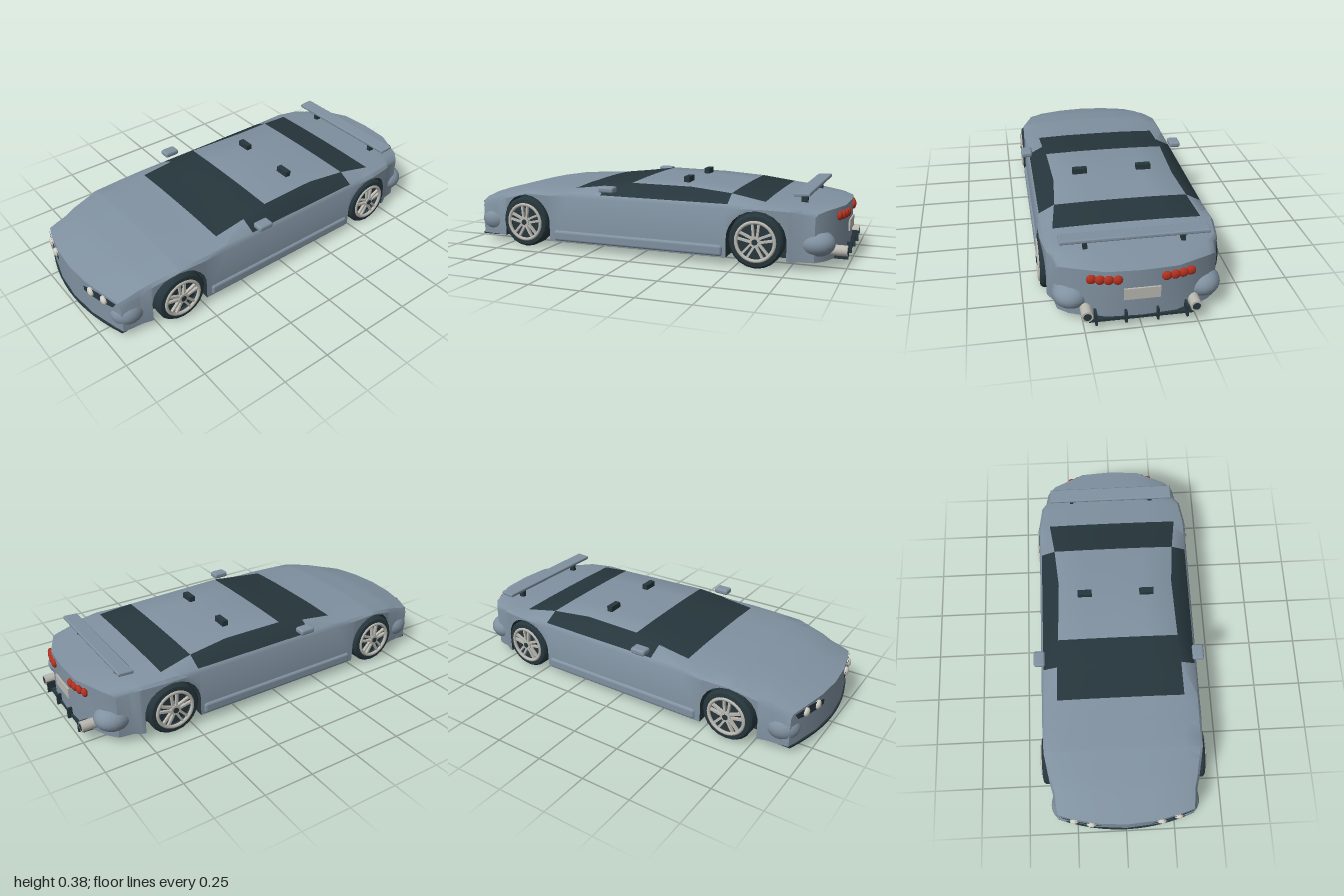
import * as THREE from 'three';
import { toCreasedNormals } from 'three/addons/utils/BufferGeometryUtils.js';
import { RoundedBoxGeometry } from 'three/addons/geometries/RoundedBoxGeometry.js';

const mat = (name, color, side = THREE.FrontSide) => {
  const m = new THREE.MeshStandardMaterial({ color, side });
  m.name = name;
  return m;
};
const paint = mat('grey paint', 0x8091a0);
const dark = mat('dark glass and rubber', 0x26363c, THREE.DoubleSide);
const metal = mat('pale metal', 0xb9b8b1);
const lampWhite = mat('lamp white', 0xd0cec5);
const red = mat('tail red', 0xb3301f);

const WHEELS = [0.63, -0.6], AXLE_Y = 0.13, ARCH = 0.143, FLOOR = 0.04, WELL_X = 0.31;

// z, half width, roof half width, centre top, roof edge, belt line, shoulder heights
const SECTIONS = [
  [0.99, 0.352, 0.27, 0.227, 0.223, 0.213, 0.19],
  [0.93, 0.358, 0.28, 0.243, 0.238, 0.225, 0.2],
  [0.85, 0.362, 0.29, 0.264, 0.257, 0.24, 0.215],
  [0.775, 0.374, 0.3, 0.282, 0.275, 0.258, 0.24],
  [0.63, 0.4, 0.31, 0.305, 0.298, 0.287, 0.278],
  [0.49, 0.405, 0.32, 0.313, 0.306, 0.291, 0.276],
  [0.37, 0.405, 0.325, 0.319, 0.312, 0.295, 0.275],
  [0.2, 0.405, 0.32, 0.338, 0.333, 0.295, 0.275],
  [0.06, 0.405, 0.31, 0.359, 0.354, 0.295, 0.275],
  [-0.25, 0.405, 0.3, 0.357, 0.351, 0.295, 0.275],
  [-0.46, 0.405, 0.32, 0.34, 0.335, 0.295, 0.276],
  [-0.63, 0.408, 0.345, 0.314, 0.309, 0.297, 0.281],
  [-0.76, 0.388, 0.33, 0.303, 0.298, 0.289, 0.275],
  [-0.85, 0.365, 0.32, 0.296, 0.29, 0.28, 0.265],
  [-0.98, 0.355, 0.31, 0.284, 0.276, 0.266, 0.25],
];

// Bowed nose and tail in plan
const noseZ = x => 0.99 - 0.54 * x * x;
const tailZ = x => -0.98 + 2.6 * Math.abs(x) ** 3;
function bow(x, z) {
  if (z > 0.775) return z - (0.99 - noseZ(x)) * (z - 0.775) / 0.215;
  if (z < -0.76) return z + (tailZ(x) + 0.98) * (-0.76 - z) / 0.22;
  return z;
}

function sectionAt(z) {
  let i = 0;
  while (i < SECTIONS.length - 2 && z < SECTIONS[i + 1][0]) i++;
  const a = SECTIONS[i], b = SECTIONS[i + 1], t = (a[0] - z) / (a[0] - b[0]);
  const [, w, r, top, edge, belt, shoulder] = a.map((v, k) => v + (b[k] - v) * t);
  let low = FLOOR;
  for (const c of WHEELS) {
    const d = Math.abs(z - c);
    if (d < ARCH - 0.0005) low = AXLE_Y + Math.sqrt(ARCH * ARCH - d * d);
  }
  low = Math.min(low, shoulder - 0.004);
  return [[0, FLOOR], [WELL_X / 2, FLOOR], [WELL_X, FLOOR], [WELL_X, low], [w, low], [w, shoulder],
    [w - 0.012, belt], [r, edge], [r / 2, top - 0.001], [0, top]];
}

// Lofted body shell with open wheel arches and inset glass faces
function makeBody() {
  const zs = SECTIONS.map(s => s[0]);
  for (const c of WHEELS)
    for (const d of [ARCH, ARCH - 0.001, 0.13, 0.11, 0.08, 0.045, 0.001]) zs.push(c + d, c - d);
  zs.sort((a, b) => b - a);
  const rows = zs.map(sectionAt), n = 10, pos = [], painted = [], darkFaces = [];
  for (const side of [1, -1]) {
    const base = pos.length / 3;
    rows.forEach((row, s) => row.forEach(([x, y]) => pos.push(side * x, y, bow(x, zs[s]))));
    const tri = (list, a, b, c) =>
      side > 0 ? list.push(base + a, base + b, base + c) : list.push(base + a, base + c, base + b);
    const quad = (list, a, b, c, d) => { tri(list, a, b, c); tri(list, a, c, d); };
    for (let s = 0; s < rows.length - 1; s++) {
      const zm = (zs[s] + zs[s + 1]) / 2;
      for (let k = 0; k < n - 1; k++) {
        const well = k === 2 || k === 3 && Math.max(rows[s][3][1], rows[s + 1][3][1]) > FLOOR;
        const sideGlass = k === 6 && zm < 0.2 && zm > -0.46;
        const screen = k > 6 && (zm < 0.37 && zm > 0.06 || zm < -0.46 && zm > -0.63);
        const a = s * n + k;
        quad(well || sideGlass || screen ? darkFaces : painted, a, a + n, a + n + 1, a + 1);
      }
    }
    const e = (rows.length - 1) * n;
    for (const f of [[0, 1, 8, 9], [1, 2, 7, 8], [2, 4, 6, 7], [4, 5, 6, 6]]) {
      quad(painted, ...f);
      quad(painted, ...f.map(v => v + e).reverse());
    }
  }
  const g = new THREE.BufferGeometry();
  g.setAttribute('position', new THREE.Float32BufferAttribute(pos, 3));
  g.setIndex([...painted, ...darkFaces]);
  g.addGroup(0, painted.length, 0);
  g.addGroup(painted.length, darkFaces.length, 1);
  return toCreasedNormals(g, 0.6);
}

// Wheel built along +x, facing outward
function makeWheel() {
  const wheel = new THREE.Group();
  const put = (name, geo, m, x = 0) => {
    const o = new THREE.Mesh(geo, m);
    o.name = name;
    o.position.x = x;
    wheel.add(o);
    return o;
  };
  const profile = [[0.095, -0.045], [0.118, -0.045], [0.13, -0.033], [0.13, 0.03], [0.12, 0.042], [0.098, 0.044], [0.095, 0.02]]
    .map(p => new THREE.Vector2(...p));
  const tyre = new THREE.LatheGeometry(profile, 20).rotateZ(-Math.PI / 2);
  put('tyre', toCreasedNormals(tyre, 0.6), dark);
  put('wheelBack', new THREE.CylinderGeometry(0.097, 0.097, 0.05, 24).rotateZ(Math.PI / 2), dark, -0.012);
  put('rim', new THREE.TorusGeometry(0.092, 0.009, 8, 32).rotateY(Math.PI / 2), metal, 0.042);
  put('hub', new THREE.CylinderGeometry(0.024, 0.026, 0.02, 12).rotateZ(Math.PI / 2), metal, 0.04);
  put('hubCap', new THREE.CylinderGeometry(0.014, 0.014, 0.008, 10).rotateZ(Math.PI / 2), dark, 0.05);
  for (let i = 0; i < 5; i++)
    for (const s of [-1, 1]) {
      const bar = new THREE.BoxGeometry(0.014, 0.08, 0.011).translate(0, 0.05, 0).rotateX(s * 0.1).translate(0, 0, s * 0.007);
      put('spoke', bar, metal, 0.038).rotation.x = i * Math.PI * 2 / 5;
    }
  return wheel;
}

export function createModel() {
  const car = new THREE.Group();
  car.name = 'sportsCar';
  const add = (name, geo, m, x = 0, y = 0, z = 0) => {
    const o = new THREE.Mesh(geo, m);
    o.name = name;
    o.position.set(x, y, z);
    car.add(o);
    return o;
  };
  const box = (w, h, d) => new THREE.BoxGeometry(w, h, d);
  add('body', makeBody(), [paint, dark]);

  // Front splitter following the nose
  const lip = [];
  for (let i = 0; i <= 12; i++) {
    const x = -0.35 + i * 0.7 / 12;
    lip.push(new THREE.Vector2(x, -noseZ(x) - 0.006));
  }
  lip.push(new THREE.Vector2(0.35, -0.84), new THREE.Vector2(-0.35, -0.84));
  const lipGeo = new THREE.ExtrudeGeometry(new THREE.Shape(lip), { depth: 0.01, bevelEnabled: false });
  add('splitter', lipGeo.rotateX(-Math.PI / 2), dark, 0, 0.033, 0);

  // Rear wing, number plate and diffuser
  add('wing', new RoundedBoxGeometry(0.67, 0.018, 0.075, 2, 0.006), paint, 0, 0.35, -0.795).rotation.x = 0.06;
  add('numberPlate', box(0.16, 0.055, 0.008), metal, 0, 0.17, -0.983);
  add('diffuser', box(0.46, 0.012, 0.06), dark, 0, 0.046, -0.955);
  for (const x of [-0.2, -0.07, 0.07, 0.2]) add('diffuserFin', box(0.01, 0.055, 0.07), dark, x, 0.06, -0.965);

  // Mirrored parts
  for (const s of [1, -1]) {
    for (const z of WHEELS) {
      const wheel = makeWheel();
      wheel.name = z > 0 ? 'frontWheel' : 'rearWheel';
      wheel.position.set(s * 0.37, AXLE_Y, z);
      if (s < 0) wheel.rotation.y = Math.PI;
      car.add(wheel);
    }
    add('sill', new RoundedBoxGeometry(0.04, 0.055, 0.9, 3, 0.014), paint, s * 0.396, 0.072, 0.01);
    add('mirror', new RoundedBoxGeometry(0.058, 0.03, 0.08, 3, 0.011), paint, s * 0.41, 0.33, 0.15);
    add('wingPost', box(0.02, 0.05, 0.03), dark, s * 0.22, 0.32, -0.79);
    add('roofBlock', box(0.074, 0.034, 0.03), dark, s * 0.163, 0.367, -0.19);

    // Bumper corners
    add('frontBumperCorner', new THREE.SphereGeometry(1, 20, 14).scale(0.075, 0.07, 0.085), paint, s * 0.302, 0.115, 0.865);
    add('rearBumperCorner', new THREE.SphereGeometry(1, 20, 14).scale(0.085, 0.065, 0.09), paint, s * 0.292, 0.122, -0.86);

    // Headlamp panel bent to the nose
    const outline = [[0.127, 0.173], [0.175, 0.17], [0.26, 0.173], [0.315, 0.18], [0.335, 0.208], [0.23, 0.22], [0.175, 0.213], [0.127, 0.2]];
    const panel = new THREE.ShapeGeometry(new THREE.Shape(outline.map(([x, y]) => new THREE.Vector2(s * x, y))));
    const p = panel.attributes.position;
    for (let i = 0; i < p.count; i++) p.setZ(i, noseZ(p.getX(i)) + 0.006);
    panel.computeVertexNormals();
    add('headlampPanel', panel, dark);
    for (const x of [0.175, 0.26])
      add('headlamp', new THREE.SphereGeometry(0.023, 18, 12).scale(1, 1, 0.6), lampWhite, s * x, 0.193, noseZ(x) + 0.004);

    // Tail lamps and exhaust
    for (const x of [0.105, 0.143, 0.18, 0.216])
      add('tailLamp', new THREE.SphereGeometry(0.022, 16, 10).scale(1, 1, 0.6), red, s * x, 0.243, tailZ(x) - 0.001);
    add('exhaust', new THREE.CylinderGeometry(0.026, 0.026, 0.09, 18).rotateX(Math.PI / 2), metal, s * 0.238, 0.082, -0.955);
    add('exhaustBore', new THREE.CircleGeometry(0.018, 16).rotateY(Math.PI), dark, s * 0.238, 0.082, -1.001);
  }
  return car;
}
